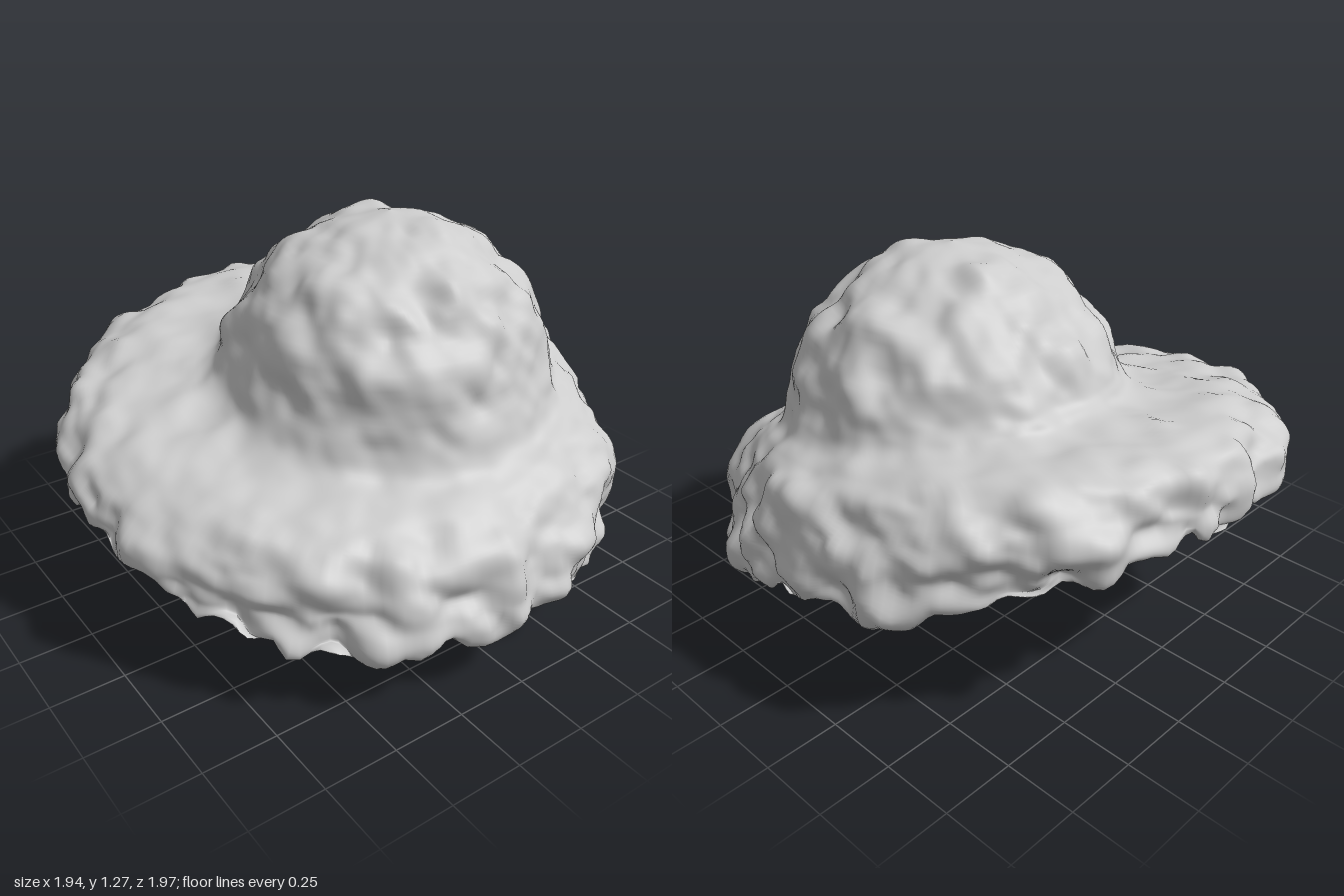
import * as THREE from 'three';

// Seeded lattice value noise in -1..1
function hash(x, y, z) {
  let h = (Math.imul(x, 374761393) + Math.imul(y, 668265263) + Math.imul(z, 1274126177)) | 0;
  h = Math.imul(h ^ (h >>> 13), 1274126177);
  return (((h ^ (h >>> 16)) >>> 0) / 4294967295) * 2 - 1;
}
function noise(x, y, z) {
  const i = Math.floor(x), j = Math.floor(y), k = Math.floor(z);
  const s = (t) => t * t * (3 - 2 * t), L = THREE.MathUtils.lerp;
  const u = s(x - i), v = s(y - j), w = s(z - k);
  const row = (b, c) => L(hash(i, b, c), hash(i + 1, b, c), u);
  return L(L(row(j, k), row(j + 1, k), v), L(row(j, k + 1), row(j + 1, k + 1), v), w);
}

// Ring stations from the crown's top, over the brim, to the bowl's bottom:
// radius, height, centre x, centre z, slope along x, slope along z, roughness
const STATIONS = [
  [0, 1.275, 0.09, -0.15, 0, 0, 0],
  [0.18, 1.235, 0.085, -0.15, 0, 0, 0.026],
  [0.37, 1.12, 0.08, -0.15, 0, 0, 0.03],
  [0.5, 0.95, 0.075, -0.15, 0, 0, 0.03],
  [0.555, 0.8, 0.08, -0.15, -0.12, -0.03, 0.024],
  [0.61, 0.715, 0.07, -0.13, -0.19, -0.06, 0.014],
  [0.76, 0.68, 0.02, -0.04, -0.19, -0.06, 0.016],
  [0.87, 0.63, 0, 0, -0.19, -0.06, 0.034],
  [0.93, 0.54, 0, 0, -0.19, -0.04, 0.05],
  [0.945, 0.45, 0, 0, -0.21, 0, 0.055],
  [0.93, 0.37, 0, 0, -0.225, 0.04, 0.05],
  [0.87, 0.385, 0, 0, -0.23, 0.04, 0.02],
  [0.7, 0.355, 0.01, -0.08, -0.23, 0.04, 0.003],
  [0.5, 0.26, 0.015, -0.17, -0.24, 0.06, 0.002],
  [0.32, 0.125, 0.02, -0.21, -0.16, 0.05, 0.001],
  [0.15, 0.025, 0.03, -0.22, -0.04, 0.02, 0],
  [0, 0, 0.03, -0.22, 0, 0, 0],
];
const STEPS = 10, SEG = 220, OVAL = 1.03;

// Smooth interpolation of all station values
function stationAt(t) {
  const last = STATIONS.length - 1, i = Math.min(Math.floor(t), last - 1), f = t - i;
  const p = [-1, 0, 1, 2].map((d) => STATIONS[THREE.MathUtils.clamp(i + d, 0, last)]);
  return p[1].map((b, k) => {
    const a = p[0][k], c = p[2][k], d = p[3][k];
    return b + 0.5 * f * (c - a + f * (2 * a - 5 * b + 4 * c - d + f * (3 * (b - c) + d - a)));
  });
}

export function createModel() {
  const rings = (STATIONS.length - 1) * STEPS;
  const pos = [], rough = [];
  for (let i = 0; i <= rings; i++) {
    const [r, y, cx, cz, sx, sz, amp] = stationAt(i / STEPS);
    // Ragged drips along the hem
    const hem = 0.04 * Math.exp(-(((i / STEPS - 10) / 0.6) ** 2));
    for (let j = 0; j < SEG; j++) {
      const a = (j / SEG) * Math.PI * 2;
      const dx = Math.max(r, 0) * Math.cos(a), dz = Math.max(r, 0) * Math.sin(a) * OVAL;
      const x = cx + dx, z = cz + dz;
      const drip = hem * noise(Math.cos(a) * 13, 3, Math.sin(a) * 13);
      pos.push(x, y + sx * dx + sz * dz + drip, z);
      rough.push(Math.max(amp, 0));
    }
  }
  // Faces between two stations, wrapped around the ring
  const strip = (from, to) => {
    const index = [];
    for (let i = from * STEPS; i < to * STEPS; i++)
      for (let j = 0; j < SEG; j++) {
        const k = (j + 1) % SEG, a = i * SEG + j, b = i * SEG + k;
        index.push(a, b, a + SEG, b, b + SEG, a + SEG);
      }
    return index;
  };

  const skin = new THREE.BufferGeometry();
  skin.setAttribute('position', new THREE.Float32BufferAttribute(pos, 3));
  skin.setIndex(strip(0, STATIONS.length - 1));
  skin.computeVertexNormals();

  // Lumps and pits pushed along the normals
  const P = skin.attributes.position, N = skin.attributes.normal;
  for (let i = 0; i < P.count; i++) {
    const x = P.getX(i), y = P.getY(i), z = P.getZ(i);
    const n = rough[i] * (noise(x * 9 + 7, y * 9, z * 9) + 0.3 * noise(x * 18, y * 18 + 5, z * 18));
    P.setXYZ(i, x + N.getX(i) * n, Math.max(0, y + N.getY(i) * n), z + N.getZ(i) * n);
  }
  skin.computeVertexNormals();

  // Parts share one skin so that they join without a seam
  const material = new THREE.MeshStandardMaterial({ color: 0xcccccc });
  const group = new THREE.Group();
  group.name = 'lumpyHat';
  for (const [name, from, to] of [['crown', 0, 5], ['brim', 5, 11], ['underside', 11, 16]]) {
    const part = new THREE.BufferGeometry();
    part.setAttribute('position', P);
    part.setAttribute('normal', skin.attributes.normal);
    part.setIndex(strip(from, to));
    const mesh = new THREE.Mesh(part, material);
    mesh.name = name;
    group.add(mesh);
  }
  return group;
}
